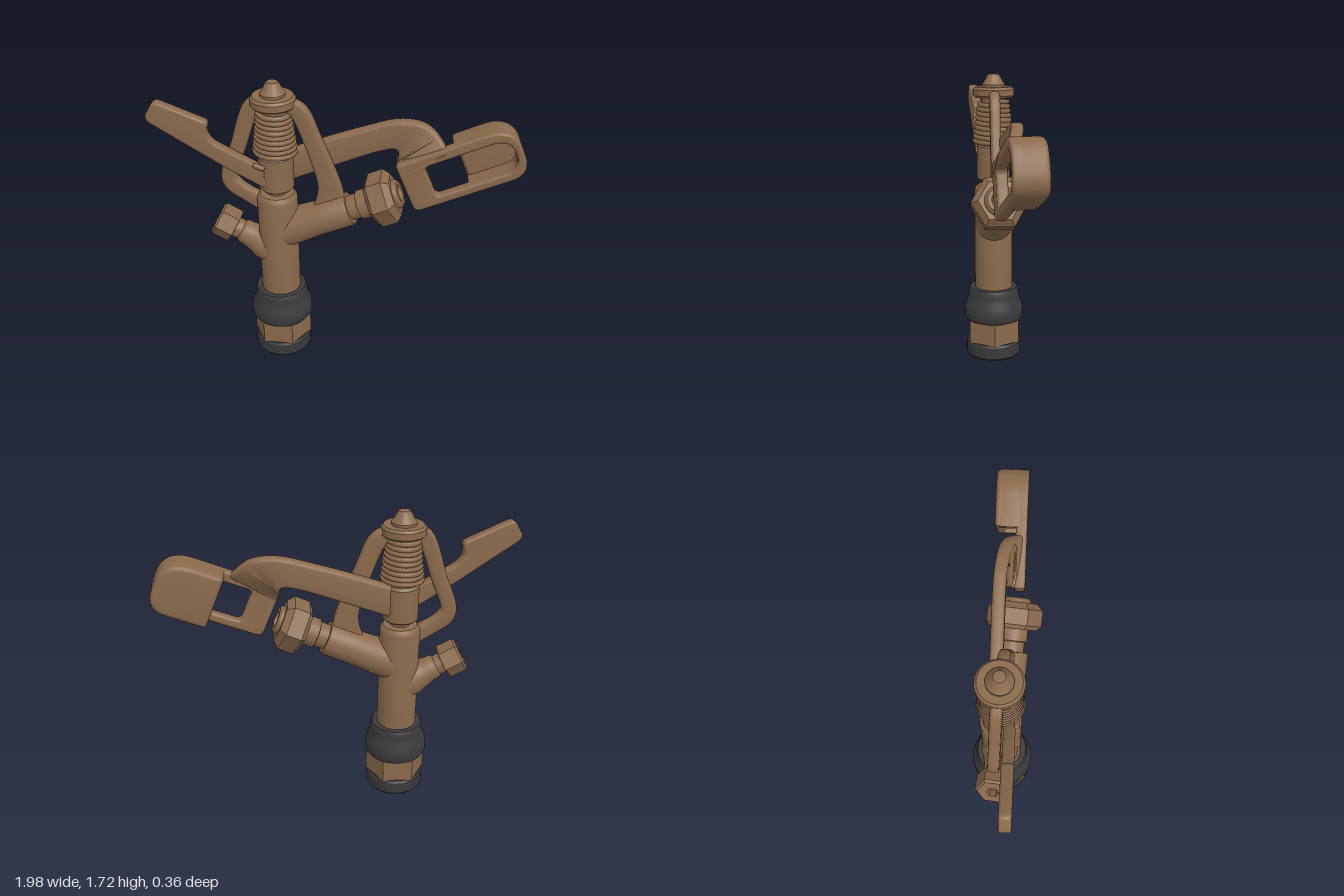
import * as THREE from 'three';
import { toCreasedNormals } from 'three/addons/utils/BufferGeometryUtils.js';

const brass = new THREE.MeshStandardMaterial({ color: 0x8a6a4c });
const brassFlat = new THREE.MeshStandardMaterial({ color: 0x8a6a4c, flatShading: true });
const rubber = new THREE.MeshStandardMaterial({ color: 0x3a3a3a });
const AXIS = -0.335;

function add(parent, name, geometry, material = brass) {
  const mesh = new THREE.Mesh(geometry, material);
  mesh.name = name;
  parent.add(mesh);
  return mesh;
}

// Turned part; the profile runs from bottom to top as [radius, height]
function turned(profile, sides = 40) {
  const g = new THREE.LatheGeometry(profile.map(p => new THREE.Vector2(...p)), sides);
  return sides > 8 ? toCreasedNormals(g, 0.6) : g;
}

// Closed outline from [x, y, cornerRadius] points
function rounded(points, Type = THREE.Shape) {
  const path = new Type();
  const n = points.length;
  points.forEach(([x, y, r = 0.005], i) => {
    const p = new THREE.Vector2(x, y);
    const toward = q => {
      const d = new THREE.Vector2(q[0], q[1]).sub(p);
      return d.setLength(Math.min(r, d.length() * 0.5)).add(p);
    };
    const a = toward(points[(i + n - 1) % n]);
    const b = toward(points[(i + 1) % n]);
    if (i === 0) path.moveTo(a.x, a.y);
    else path.lineTo(a.x, a.y);
    path.quadraticCurveTo(x, y, b.x, b.y);
  });
  path.closePath();
  return path;
}

// Extrusion between two z values with softened edges
function slab(shape, z0, z1, bevel = 0.012) {
  const g = new THREE.ExtrudeGeometry(shape, {
    depth: z1 - z0 - 2 * bevel, bevelThickness: bevel, bevelSize: bevel,
    bevelOffset: -bevel, bevelSegments: 3, curveSegments: 10,
  });
  g.translate(0, 0, z0 + bevel);
  return toCreasedNormals(g, 0.6);
}

// Cast bar swept in the xy plane; stations are [x, y, halfWidth, z]
function castBar(stations, halfDepth, steps = 40) {
  const line = new THREE.SplineCurve(stations.map(s => new THREE.Vector2(s[0], s[1])));
  const size = new THREE.SplineCurve(stations.map(s => new THREE.Vector2(s[2], s[3])));
  const ring = 16, soft = 0.02, pos = [], index = [];
  for (let i = 0; i <= steps; i++) {
    const t = i / steps;
    const p = line.getPoint(t), s = size.getPoint(t);
    const d = line.getPoint(Math.min(1, t + 0.01)).sub(line.getPoint(Math.max(0, t - 0.01))).normalize();
    for (let k = 0; k < ring; k++) {
      const corner = Math.floor(k / 4);
      const a = corner * Math.PI / 2 + (k % 4) * Math.PI / 6;
      const sw = corner === 0 || corner === 3 ? 1 : -1, sd = corner < 2 ? 1 : -1;
      const w = sw * (s.x - soft) + soft * Math.cos(a);
      const z = sd * (halfDepth - soft) + soft * Math.sin(a);
      pos.push(p.x - d.y * w, p.y + d.x * w, s.y + z);
    }
  }
  for (let i = 0; i < steps; i++) {
    for (let k = 0; k < ring; k++) {
      const a = i * ring + k, b = i * ring + (k + 1) % ring;
      index.push(a, a + ring, b, b, a + ring, b + ring);
    }
  }
  const last = steps * ring;
  for (let k = 1; k < ring - 1; k++) {
    index.push(0, k, k + 1, last, last + k + 1, last + k);
  }
  // the normal/depth/travel axes are left-handed, so reverse every triangle when needed
  const g = new THREE.BufferGeometry();
  g.setAttribute('position', new THREE.Float32BufferAttribute(pos, 3));
  const v = i => new THREE.Vector3(pos[i * 3], pos[i * 3 + 1], pos[i * 3 + 2]);
  let volume = 0;
  for (let i = 0; i < index.length; i += 3) {
    volume += v(index[i]).dot(v(index[i + 1]).cross(v(index[i + 2])));
  }
  g.setIndex(volume < 0 ? index.reverse() : index);
  return toCreasedNormals(g, 0.7);
}

class TaperedHelix extends THREE.Curve {
  getPoint(t, target = new THREE.Vector3()) {
    const a = t * 9 * Math.PI * 2, r = 0.11 - 0.03 * t;
    return target.set(r * Math.cos(a), 1.325 + 0.24 * t, r * Math.sin(a));
  }
}

export function createModel() {
  const model = new THREE.Group();
  model.name = 'impactSprinkler';
  const core = new THREE.Group();
  core.name = 'core';
  core.position.x = AXIS;
  model.add(core);

  // Hollow base: seal, hex nut and collar
  add(core, 'baseSeal', turned([[0.12, 0.1], [0.12, 0.005], [0.13, 0], [0.158, 0], [0.167, 0.012],
    [0.167, 0.082], [0.158, 0.095], [0.12, 0.1]]), rubber);
  add(core, 'baseNut', turned([[0.125, 0.09], [0.172, 0.09], [0.172, 0.24], [0.125, 0.24]], 6), brassFlat).rotation.y = Math.PI / 6;
  add(core, 'collar', turned([[0.1, 0.235], [0.17, 0.235], [0.18, 0.25], [0.18, 0.295], [0.172, 0.33],
    [0.157, 0.365], [0.152, 0.39], [0.152, 0.42], [0.143, 0.435], [0.1, 0.435]]), rubber);
  const bore = add(core, 'inletBore', turned([[0.121, 0.02], [0.121, 0.24], [0.08, 0.3], [0.08, 0.42]]), brass.clone());
  bore.material.side = THREE.DoubleSide;

  // Upright body and spindle
  add(core, 'body', turned([[0, 0.4], [0.113, 0.4], [0.113, 1.035], [0.108, 1.055], [0.095, 1.068], [0, 1.068]]));
  add(core, 'spindle', turned([[0.052, 1.05], [0.052, 1.2], [0.07, 1.3], [0.07, 1.6]]));
  add(core, 'topRing', turned([[0, 1.583], [0.108, 1.583], [0.12, 1.595], [0.12, 1.63], [0.108, 1.644], [0, 1.644]]));
  add(core, 'topCap', turned([[0.068, 1.64], [0.068, 1.658], [0.058, 1.668], [0.038, 1.705], [0.03, 1.717], [0, 1.72]]));
  add(core, 'spring', new THREE.TubeGeometry(new TaperedHelix(), 360, 0.0145, 8));

  // Main nozzle branch
  const nozzle = new THREE.Group();
  nozzle.name = 'mainNozzle';
  nozzle.position.y = 0.816;
  nozzle.rotation.z = -66 * Math.PI / 180;
  core.add(nozzle);
  add(nozzle, 'nozzleTube', turned([[0.108, 0], [0.104, 0.15], [0.098, 0.25], [0.097, 0.435], [0.09, 0.45], [0, 0.45]]));
  add(nozzle, 'nozzleNeck', turned([[0.07, 0.44], [0.07, 0.505], [0.082, 0.51], [0.082, 0.58]]));
  add(nozzle, 'nozzleHex', turned([[0, 0.575], [0.125, 0.575], [0.152, 0.598], [0.152, 0.685], [0.115, 0.72], [0.05, 0.72]], 6), brassFlat);
  add(nozzle, 'nozzleTip', turned([[0.085, 0.71], [0.078, 0.735], [0.066, 0.745], [0.045, 0.745], [0.03, 0.66], [0, 0.66]]));

  // Small rear plug branch
  const plug = new THREE.Group();
  plug.name = 'rearPlug';
  plug.position.y = 0.68;
  plug.rotation.z = 62 * Math.PI / 180;
  core.add(plug);
  add(plug, 'plugTube', turned([[0.1, 0.04], [0.1, 0.1], [0.083, 0.15], [0.071, 0.2], [0.069, 0.235], [0.06, 0.247], [0, 0.247]]));
  add(plug, 'plugNeck', turned([[0.058, 0.24], [0.058, 0.3]]));
  add(plug, 'plugHex', turned([[0, 0.285], [0.09, 0.285], [0.097, 0.293], [0.097, 0.388], [0.085, 0.4], [0.035, 0.4], [0.035, 0.36], [0, 0.36]], 6), brassFlat);

  // Bridge legs around the spring
  add(model, 'bridgeLegRight', castBar([[-0.37, 1.61, 0.03, 0], [-0.455, 1.565, 0.045, 0], [-0.535, 1.34, 0.043, 0],
    [-0.595, 1.18, 0.043, 0], [-0.58, 1.105, 0.048, 0], [-0.5, 1.045, 0.045, 0], [-0.38, 0.98, 0.055, 0]], 0.03));
  add(model, 'bridgeLegLeft', castBar([[-0.3, 1.61, 0.03, 0], [-0.2, 1.56, 0.048, 0], [-0.13, 1.4, 0.05, 0],
    [-0.052, 1.18, 0.06, 0], [-0.035, 1.07, 0.075, 0], [-0.045, 0.98, 0.09, 0]], 0.03));

  // Swinging arm, turned slightly about the spindle
  const swing = new THREE.Group();
  swing.name = 'swingArm';
  swing.position.x = AXIS;
  swing.rotation.y = 0.085;
  model.add(swing);
  const arm = new THREE.Group();
  arm.name = 'armParts';
  arm.position.x = -AXIS;
  swing.add(arm);
  add(swing, 'armHub', turned([[0.05, 1.1], [0.088, 1.1], [0.097, 1.11], [0.097, 1.3], [0.085, 1.315], [0.06, 1.315]]));
  add(arm, 'armBar', castBar([[-0.31, 1.21, 0.085, -0.03], [-0.02, 1.322, 0.08, -0.03], [0.2, 1.4, 0.075, -0.03],
    [0.32, 1.425, 0.085, -0.025], [0.405, 1.39, 0.125, 0.0], [0.46, 1.31, 0.142, 0.068]], 0.034));
  add(arm, 'counterVane', slab(rounded([[-1, 1.535, 0.02], [-0.945, 1.625, 0.03], [-0.67, 1.51, 0.025], [-0.685, 1.445, 0.03],
    [-0.655, 1.395, 0.03], [-0.38, 1.24], [-0.36, 1.11], [-0.59, 1.245, 0.03], [-0.985, 1.505, 0.02]].reverse()), 0.02, 0.08));
  const nub = add(arm, 'vaneNub', new THREE.CapsuleGeometry(0.014, 0.04, 4, 10));
  nub.position.set(-0.415, 1.265, 0.085);
  nub.rotation.z = 1.15;

  // Drive spoon: slotted plate with a scoop behind its outer end
  const spoon = new THREE.Group();
  spoon.name = 'driveSpoon';
  spoon.position.set(0.425, 1.02, 0);
  spoon.rotation.z = 23 * Math.PI / 180;
  arm.add(spoon);
  const face = rounded([[0, 0, 0.04], [0.645, 0, 0.11], [0.645, 0.3, 0.16], [0, 0.3, 0.02]]);
  face.holes.push(rounded([[0.14, 0.05, 0.03], [0.14, 0.24, 0.03], [0.605, 0.24, 0.11], [0.605, 0.05, 0.08]], THREE.Path));
  add(spoon, 'spoonPlate', slab(face, 0.04, 0.1));
  add(spoon, 'scoopWall', slab(rounded([[0.32, 0], [0.645, 0, 0.11], [0.645, 0.3, 0.16], [0.32, 0.3],
    [0.32, 0.24], [0.605, 0.24, 0.11], [0.605, 0.05, 0.08], [0.32, 0.05]]), -0.045, 0.06, 0.002));
  add(spoon, 'scoopBack', slab(rounded([[0.32, 0, 0.02], [0.645, 0, 0.11], [0.645, 0.3, 0.16], [0.32, 0.3, 0.02]]), -0.072, -0.02, 0.025));

  return model;
}
